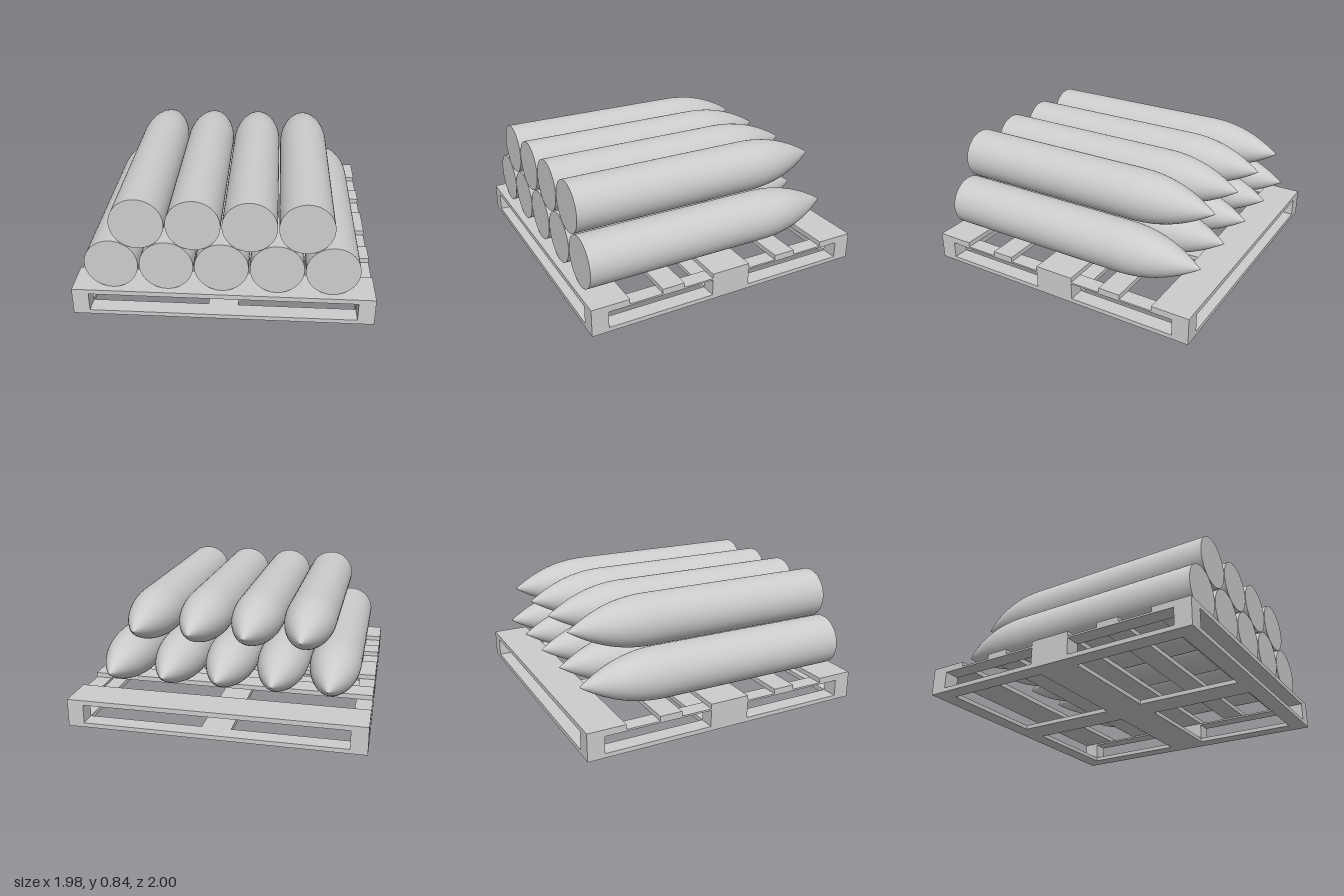
import * as THREE from 'three';

const material = new THREE.MeshStandardMaterial({ color: 0xcccccc });

// Box given by its x, y and z ranges
function addBox(group, name, [x0, x1], [y0, y1], [z0, z1]) {
  const mesh = new THREE.Mesh(new THREE.BoxGeometry(x1 - x0, y1 - y0, z1 - z0), material);
  mesh.position.set((x0 + x1) / 2, (y0 + y1) / 2, (z0 + z1) / 2);
  mesh.name = name;
  group.add(mesh);
}

function createPallet() {
  const pallet = new THREE.Group();
  pallet.name = 'pallet';
  const W = 0.99, inX = 0.88, inZ = 0.885, mid = 0.14;
  const base = 0.03, beam = 0.145, deck = 0.157, top = 0.19;

  // Bottom frame: one plate with four window openings around a central cross
  const plate = new THREE.Shape();
  plate.moveTo(-W, -1).lineTo(W, -1).lineTo(W, 1).lineTo(-W, 1).closePath();
  for (const sx of [-1, 1]) {
    for (const sz of [-1, 1]) {
      const hole = new THREE.Path();
      hole.moveTo(sx * 0.1, sz * mid).lineTo(sx * inX, sz * mid);
      hole.lineTo(sx * inX, sz * inZ).lineTo(sx * 0.1, sz * inZ).closePath();
      plate.holes.push(hole);
    }
  }
  const frame = new THREE.Mesh(
    new THREE.ExtrudeGeometry(plate, { depth: base, bevelEnabled: false }).rotateX(-Math.PI / 2), material);
  frame.name = 'bottomFrame';
  pallet.add(frame);

  // Blocks and side beams
  for (const s of [-1, 1]) {
    const side = s > 0 ? [inX, W] : [-W, -inX];
    addBox(pallet, 'sideBeam', side, [beam, deck], [-1, 1]);
    for (const z of [[-1, -inZ], [-mid, mid], [inZ, 1]]) {
      addBox(pallet, 'block', side, [base, beam], z);
    }
  }

  // Deck boards
  for (const z of [[-1, -0.74], [-0.51, -0.355], [-mid, mid], [0.355, 0.51], [0.74, 1]]) {
    addBox(pallet, 'deckBoard', [-W, W], [deck, top], z);
  }
  return pallet;
}

// Pointed round: flat base, straight body and curved nose, pointing to -z
function createShellGeometry() {
  const R = 0.175, length = 1.885, nose = 0.57, steps = 20;
  // The doubled points keep the base edge sharp
  const profile = [[0, 0], [R, 0], [R, 0]].map(([r, y]) => new THREE.Vector2(r, y));
  for (let i = 0; i <= steps; i++) {
    const t = i / steps;
    profile.push(new THREE.Vector2(R * (1 - t ** 2.2), length - nose * (1 - t)));
  }
  return new THREE.LatheGeometry(profile, 64).rotateX(-Math.PI / 2);
}

export function createModel() {
  const model = new THREE.Group();
  model.name = 'loadedPallet';
  model.add(createPallet());

  // Two stacked rows, the upper resting in the gaps of the lower
  const geometry = createShellGeometry();
  const pitch = 0.358;
  for (const { name, count, y } of [
    { name: 'lowerShell', count: 5, y: 0.365 },
    { name: 'upperShell', count: 4, y: 0.67 },
  ]) {
    for (let i = 0; i < count; i++) {
      const shell = new THREE.Mesh(geometry, material);
      shell.name = name;
      shell.position.set(-0.008 + (i - (count - 1) / 2) * pitch, y, 0.95);
      model.add(shell);
    }
  }
  return model;
}
